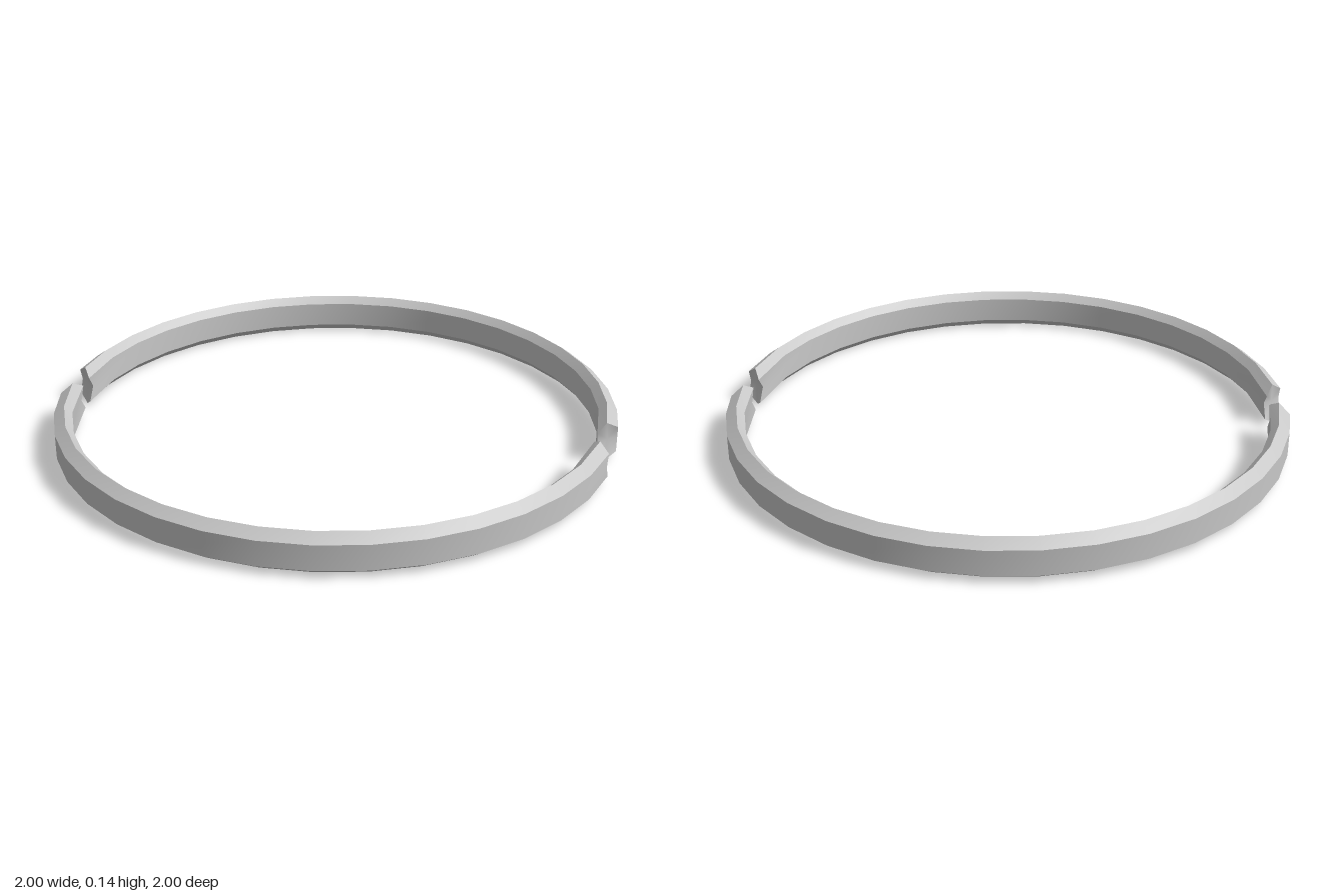
import * as THREE from 'three';
import { toCreasedNormals, mergeGeometries } from 'three/addons/utils/BufferGeometryUtils.js';

// Ring cross-section [radius, y], up the outside, over the ridge, down the inside
const SECTION = [
  [1, 0.03], [1, 0.075], [1, 0.12], [0.962, 0.148],
  [0.935, 0.122], [0.935, 0.077], [0.935, 0.03], [0.962, 0.003],
];
const STEP = Math.PI / 18;

function surface(points, index, creaseAngle) {
  const geometry = new THREE.BufferGeometry();
  geometry.setAttribute('position', new THREE.Float32BufferAttribute(points.flat(), 3));
  geometry.setIndex(index);
  return toCreasedNormals(geometry, creaseAngle);
}

// Smoothly hollowed break face, fanned around a slightly sunken centre
function breakFace(rim, side) {
  const n = rim.length;
  const centre = [0, 1, 2].map(q => rim.reduce((sum, p) => sum + p[q], 0) / n);
  centre[2] += 0.02;
  const index = [];
  for (let j = 0; j < n; j++) {
    const k = (j + 1) % n;
    if (side < 0) index.push(n, j, k);
    else index.push(n, k, j);
  }
  return surface([...rim, centre], index, Math.PI);
}

// One arc centred on +z; endDepth gives the z where each section point breaks off
function arcGeometry(fullSteps, endDepth) {
  const broken = side => SECTION.map(([r, y], j) =>
    [side * Math.sqrt(r * r - endDepth[j] ** 2), y, endDepth[j]]);
  const start = broken(-1), end = broken(1);
  const stations = [start];
  for (let i = -fullSteps; i <= fullSteps; i++) {
    const a = i * STEP;
    stations.push(SECTION.map(([r, y]) => [r * Math.sin(a), y, r * Math.cos(a)]));
  }
  stations.push(end);

  const n = SECTION.length;
  const index = [];
  for (let i = 0; i < stations.length - 1; i++) {
    for (let j = 0; j < n; j++) {
      const k = (j + 1) % n;
      const a = i * n + j, b = a + n, c = (i + 1) * n + k, d = i * n + k;
      index.push(a, b, c, a, c, d);
    }
  }
  return mergeGeometries([
    surface(stations.flat(), index, 0.5),
    breakFace(start, -1),
    breakFace(end, 1),
  ]);
}

export function createModel() {
  const metal = new THREE.MeshStandardMaterial({ color: 0xc8c8c8 });
  metal.name = 'light grey metal';
  const model = new THREE.Group();
  model.name = 'brokenRing';

  // Shorter front arc
  const front = new THREE.Mesh(
    arcGeometry(7, [0.165, 0.188, 0.175, 0.145, 0.1, 0.135, 0.095, 0.14]), metal);
  front.name = 'frontArc';

  // Longer back arc
  const back = new THREE.Mesh(
    arcGeometry(8, [0.028, 0.05, 0.035, 0, -0.035, -0.002, -0.04, -0.005]), metal);
  back.name = 'backArc';
  back.rotation.y = Math.PI;

  for (const arc of [front, back]) {
    arc.position.z = -0.001;
    model.add(arc);
  }
  return model;
}
